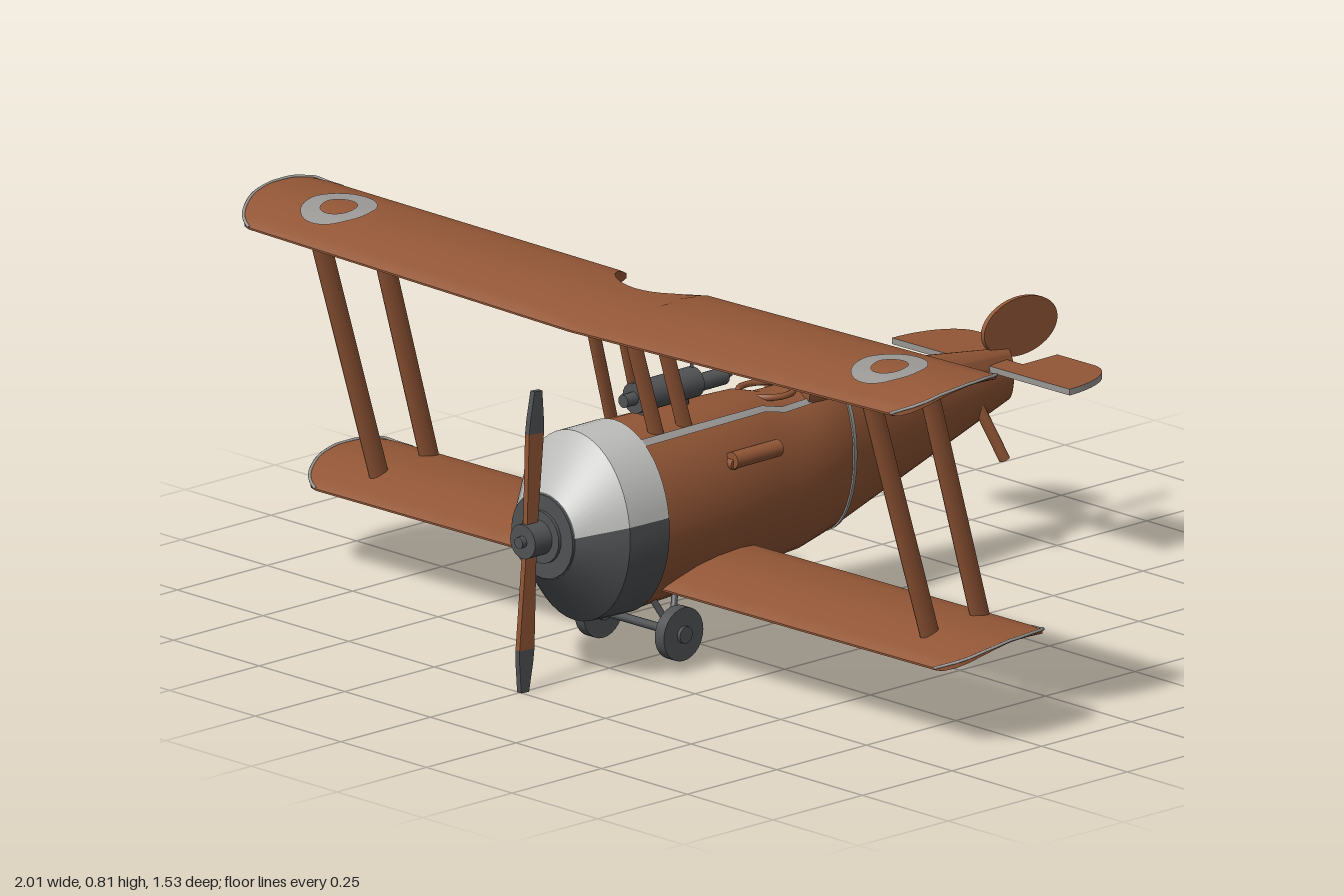
import * as THREE from 'three';
import { toCreasedNormals } from 'three/addons/utils/BufferGeometryUtils.js';

const mat = (name, color, side = THREE.FrontSide) => {
  const m = new THREE.MeshStandardMaterial({ color, side });
  m.name = name;
  return m;
};
const V = (x, y, z) => new THREE.Vector3(x, y, z);

// Skins a list of closed rings (counter-clockwise seen from the first end) and caps both ends.
function skin(rings, crease = 0.6) {
  const n = rings[0].length, pos = [], idx = [];
  rings.forEach(r => r.forEach(p => pos.push(p.x, p.y, p.z)));
  for (let i = 0; i < rings.length - 1; i++) for (let j = 0; j < n; j++) {
    const f = i * n, b = f + n, k = (j + 1) % n;
    idx.push(f + j, b + j, b + k, f + j, b + k, f + k);
  }
  [0, rings.length - 1].forEach((r, end) => {
    const c = V(0, 0, 0);
    rings[r].forEach(p => c.addScaledVector(p, 1 / n));
    const ci = pos.length / 3;
    pos.push(c.x, c.y, c.z);
    for (let j = 0; j < n; j++) {
      const a = r * n + j, b = r * n + (j + 1) % n;
      idx.push(ci, end ? b : a, end ? a : b);
    }
  });
  const g = new THREE.BufferGeometry();
  g.setAttribute('position', new THREE.Float32BufferAttribute(pos, 3));
  g.setIndex(idx);
  return toCreasedNormals(g, crease);
}

// Elliptical body from [z, half width, bottom, top] sections, over an arc in degrees.
function loft(sections, a0 = 0, a1 = 360, n = 36, grow = 0) {
  const full = a1 - a0 === 360;
  return skin(sections.map(([z, rx, lo, hi]) =>
    Array.from({ length: full ? n : n + 1 }, (_, j) => {
      const a = THREE.MathUtils.degToRad(a0 + (a1 - a0) * j / n);
      return V(Math.cos(a) * (rx + grow), (lo + hi) / 2 + Math.sin(a) * ((hi - lo) / 2 + grow), z);
    })));
}

// Airfoil heights along the chord.
const U = [0, 0.03, 0.1, 0.3, 0.5, 0.75, 0.92, 1];
const TOP = [0.75, 0.759, 0.768, 0.788, 0.797, 0.798, 0.792, 0.78];
const LOW = [0.746, 0.743, 0.744, 0.751, 0.757, 0.761, 0.764, 0.77];
const sample = (table, u) => {
  let i = 0;
  while (i < U.length - 2 && u > U[i + 1]) i++;
  return THREE.MathUtils.lerp(table[i], table[i + 1], THREE.MathUtils.clamp((u - U[i]) / (U[i + 1] - U[i]), 0, 1));
};

// Wing description: plan outline and surface heights at any point.
function makeWing({ span, lead, trail, lift, dihedral, sweep, cut }) {
  const plan = x => {
    const s = Math.abs(x), q = Math.max(0, (s - span + 0.08) / 0.08), mid = (lead + trail) / 2;
    const back = trail + sweep * s;
    const w = cut && s < 0.125 ? 0.1 * Math.sqrt(1 - (s / 0.125) ** 2) : 0;
    return {
      q,
      front: mid + (lead - mid) * Math.sqrt(Math.max(0, 1 - q * q)) * 0.9 + (lead - mid) * 0.1 * (1 - q),
      back: back + w + (mid - back) * (1 - Math.sqrt(Math.max(0, 1 - q ** 3))) * 0.9,
    };
  };
  const height = (x, z, table) =>
    sample(table, (lead - z) / (lead - trail - sweep * Math.abs(x))) + lift + dihedral * (Math.abs(x) - 0.55);
  const half = [0, 0.02, 0.04, 0.06, 0.08, 0.1, 0.115, 0.123, 0.126, 0.3, 0.6, span - 0.08];
  [0.25, 0.5, 0.7, 0.85, 0.95, 1].forEach(t => half.push(span - 0.08 + 0.08 * t));
  const xs = [...half].reverse().concat(half.slice(1).map(x => -x));
  const rings = xs.map(x => {
    const { q, front, back } = plan(x);
    const pts = U.map(u => {
      const z = front + (back - front) * u, top = height(x, z, TOP);
      return [V(x, top - (top - height(x, z, LOW)) * (1 - 0.9 * q), z), V(x, top, z)];
    });
    return [...pts.map(p => p[0]), ...pts.map(p => p[1]).reverse()];
  });
  return { geometry: skin(rings, 0.7), plan, height };
}

export function createModel() {
  const brown = mat('brown', 0x925636);
  const light = mat('light grey', 0xbdbdbb);
  const trim = mat('mid grey trim', 0x9a9895, THREE.DoubleSide);
  const dark = mat('dark grey metal', 0x505254);
  const plane = new THREE.Group();
  plane.name = 'biplane';
  const add = (name, geo, material, parent = plane) => {
    const m = new THREE.Mesh(geo, material);
    m.name = name;
    parent.add(m);
    return m;
  };
  // Round or flattened bar between two points
  const bar = (name, a, b, rx, rz, material) => {
    const d = b.clone().sub(a);
    const m = add(name, new THREE.CylinderGeometry(1, 1, 1, 12), material);
    m.scale.set(rx, d.length(), rz);
    m.position.copy(a).add(b).multiplyScalar(0.5);
    m.quaternion.setFromUnitVectors(V(0, 1, 0), d.normalize());
    return m;
  };

  // Fuselage with a dip at the cockpit
  const body = [[0.485, 0.155, 0.122, 0.519], [0.3, 0.148, 0.13, 0.517], [0.13, 0.13, 0.141, 0.512],
    [0.07, 0.122, 0.145, 0.495], [0, 0.113, 0.148, 0.495], [-0.11, 0.088, 0.17, 0.512], [-0.63, 0.02, 0.33, 0.44]];
  add('fuselage', loft(body), brown);
  add('headrest', loft([[-0.005, 0.066, 0.42, 0.562], [-0.04, 0.067, 0.42, 0.548], [-0.13, 0.06, 0.42, 0.51]]), brown);
  const rim = add('cockpitRim', new THREE.TorusGeometry(0.056, 0.007, 8, 32), brown);
  rim.rotation.x = Math.PI / 2;
  rim.position.set(0, 0.495, 0.055);
  add('fuselageBand', loft([[-0.105, 0.09, 0.169, 0.512], [-0.115, 0.088, 0.171, 0.512]], 0, 360, 36, 0.003), trim);
  [55, 119].forEach(a => add('deckStripe', loft(body.slice(0, 6), a, a + 6, 3, 0.003), trim));

  // Engine cowl: pale upper part, dark lower part, dark nose plate
  const cowl = [[0.597, 0.159, 0.124, 0.523], [0.685, 0.09, 0.23, 0.41]].reverse().concat([[0.485, 0.159, 0.119, 0.523]]);
  add('cowlTop', loft(cowl, 8, 172, 24), light);
  add('cowlBottom', loft(cowl, 172, 368, 24), dark);
  const disc = (name, r, z0, z1, y = 0.32, n = 28) => {
    const m = add(name, new THREE.CylinderGeometry(r, r, z1 - z0, n), dark);
    m.rotation.x = Math.PI / 2;
    m.position.set(0, y, (z0 + z1) / 2);
  };
  disc('nosePlate', 0.088, 0.68, 0.69);
  disc('noseRing', 0.055, 0.68, 0.697);
  disc('propellerHub', 0.036, 0.68, 0.745);
  disc('hubCap', 0.012, 0.74, 0.757);

  // Propeller: blades edge-on to the front, dark tips
  const prop = new THREE.Group();
  prop.name = 'propeller';
  prop.position.set(0, 0.317, 0.725);
  prop.rotation.x = -0.06;
  plane.add(prop);
  const blade = pts => {
    const g = new THREE.ExtrudeGeometry(new THREE.Shape(pts.map(p => new THREE.Vector2(...p))), { depth: 0.012, bevelEnabled: false });
    return g.translate(0, 0, -0.006).rotateY(-Math.PI / 2);
  };
  [0, Math.PI].forEach(r => {
    const half = new THREE.Group();
    half.name = 'propellerBlade';
    half.rotation.z = r;
    prop.add(half);
    add('blade', blade([[-0.014, 0], [0.014, 0], [0.021, 0.225], [-0.021, 0.225]]), brown, half);
    add('bladeTip', blade([[-0.021, 0.225], [0.021, 0.225], [0.019, 0.255], [0.011, 0.314], [-0.011, 0.314], [-0.019, 0.255]]), dark, half);
  });

  // Wings with grey tip edging
  const upper = makeWing({ span: 1, lead: 0.612, trail: 0.322, lift: 0, dihedral: 0.022, sweep: 0.025, cut: true });
  const lower = makeWing({ span: 0.968, lead: 0.455, trail: 0.18, lift: -0.568, dihedral: 0, sweep: 0, cut: false });
  add('upperWing', upper.geometry, brown);
  add('lowerWing', lower.geometry, brown);
  [[upper, 1], [lower, 0.968]].forEach(([w, span]) => [-1, 1].forEach(s => {
    const xs = [0, 0.25, 0.5, 0.7, 0.85, 0.95, 1].map(t => s * (span - 0.08 + 0.08 * t));
    const edge = key => xs.map(x => V(x, w.height(x, w.plan(x)[key], TOP), w.plan(x)[key]));
    const path = new THREE.CatmullRomCurve3([...edge('front'), ...edge('back').reverse()]);
    add('wingTipEdge', new THREE.TubeGeometry(path, 40, 0.0035, 6), trim);
  }));

  // Painted rings above and below the upper wing
  [-0.79, 0.79].forEach(cx => [[TOP, -1, 0.004], [LOW, 1, -0.004]].forEach(([table, dir, gap]) => {
    const g = new THREE.RingGeometry(0.038, 0.078, 36, 4).rotateX(dir * Math.PI / 2).translate(cx, 0, 0.485);
    const p = g.attributes.position;
    for (let i = 0; i < p.count; i++) p.setY(i, upper.height(p.getX(i), p.getZ(i), table) + gap);
    g.computeVertexNormals();
    add('wingRing', g, trim);
  }));

  // Struts, wheels and tailplane, mirrored
  const tailMats = [brown, trim];
  [-1, 1].forEach(s => {
    [[0.545, 0.37], [0.385, 0.225]].forEach(([zt, zb]) =>
      bar('wingStrut', V(s * 0.79, 0.765, zt), V(s * 0.79, 0.21, zb), 0.013, 0.024, brown));
    [[0.505, 0.425], [0.425, 0.345]].forEach(([zt, zb]) =>
      bar('centreStrut', V(s * 0.056, 0.76, zt), V(s * 0.064, 0.48, zb), 0.009, 0.018, brown));
    const wheel = add('wheel', new THREE.CylinderGeometry(0.056, 0.056, 0.026, 28), dark);
    wheel.rotation.z = Math.PI / 2;
    wheel.position.set(s * 0.115, 0.083, 0.415);
    bar('wheelHub', V(s * 0.095, 0.083, 0.415), V(s * 0.136, 0.083, 0.415), 0.018, 0.018, dark);
    [0.45, 0.38].forEach(z => bar('gearStrut', V(s * 0.096, 0.083, 0.415), V(s * 0.068, 0.16, z), 0.007, 0.007, dark));

    const shape = new THREE.Shape();
    shape.moveTo(0, 0.555);
    shape.lineTo(s * 0.255, 0.555);
    shape.bezierCurveTo(s * 0.255, 0.63, s * 0.225, 0.71, s * 0.165, 0.71);
    shape.lineTo(s * 0.063, 0.71);
    shape.lineTo(s * 0.063, 0.612);
    shape.lineTo(0, 0.612);
    const tail = new THREE.ExtrudeGeometry(shape, { depth: 0.013, bevelEnabled: false, curveSegments: 16 });
    add('tailplane', tail.rotateX(-Math.PI / 2).translate(0, 0.409, 0), tailMats);
  });
  bar('axle', V(-0.115, 0.083, 0.415), V(0.115, 0.083, 0.415), 0.009, 0.009, dark);

  // Rudder and tail skid
  const rudder = add('rudder', new THREE.CylinderGeometry(1, 1, 0.01, 40), brown);
  rudder.rotation.z = Math.PI / 2;
  rudder.scale.set(0.061, 1, 0.104);
  rudder.position.set(0, 0.479, -0.664);
  bar('tailSkid', V(0.015, 0.355, -0.525), V(0.045, 0.225, -0.578), 0.01, 0.012, brown);

  // Gun on the deck
  disc('gunJacket', 0.032, 0.26, 0.43, 0.556, 20);
  disc('gunTip', 0.014, 0.42, 0.46, 0.556, 12);
  disc('gunBarrel', 0.018, 0.175, 0.27, 0.55, 16);
  disc('gunGrip', 0.006, 0.155, 0.18, 0.55, 8);
  bar('gunSight', V(0, 0.57, 0.265), V(0, 0.608, 0.265), 0.004, 0.004, dark);
  [0.4, 0.29].forEach(z => bar('gunMount', V(0, 0.5, z), V(0, 0.55, z), 0.012, 0.012, dark));

  // Side pipe on the left
  const pipe = add('sidePipe', new THREE.CylinderGeometry(0.018, 0.018, 0.13, 14), brown);
  pipe.rotation.x = Math.PI / 2;
  pipe.position.set(0.135, 0.423, 0.22);
  bar('pipeElbow', V(0.11, 0.415, 0.28), V(0.14, 0.415, 0.28), 0.012, 0.012, brown);

  // Slight yaw of the whole machine
  plane.rotation.y = 0.017;
  plane.position.x = -0.01;
  const model = new THREE.Group();
  model.name = 'model';
  model.add(plane);
  return model;
}
